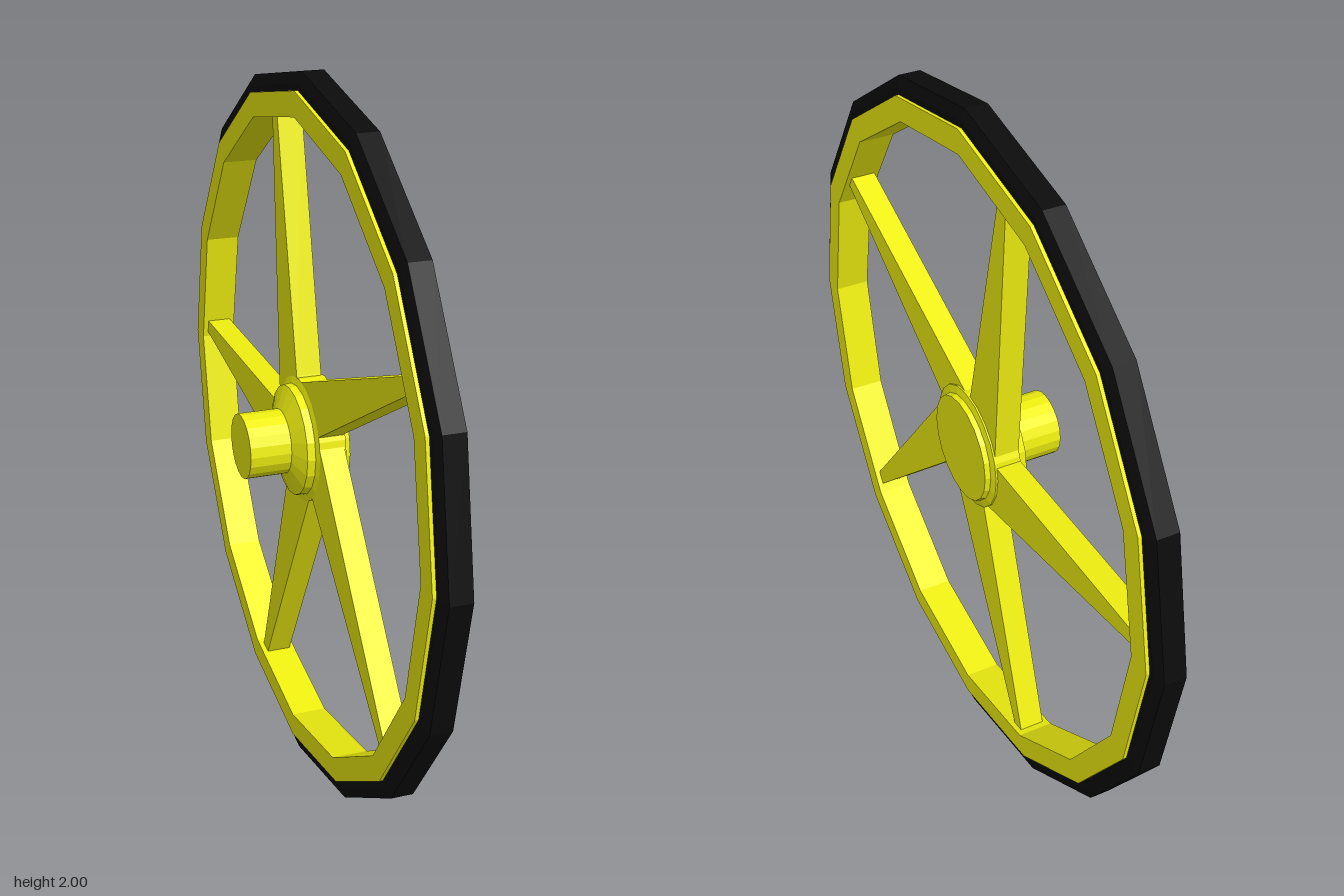
import * as THREE from 'three';

const yellow = new THREE.MeshStandardMaterial({ color: 0xeeee10, flatShading: true });
const black = new THREE.MeshStandardMaterial({ color: 0x0b0b0b, flatShading: true });

// Turn an [x, radius] profile around the axle, which runs along x
function turned(name, profile, sides, material) {
  const points = profile.map(([x, r]) => new THREE.Vector2(r, x));
  const geometry = new THREE.LatheGeometry(points, sides).rotateZ(-Math.PI / 2);
  const mesh = new THREE.Mesh(geometry, material);
  mesh.name = name;
  return mesh;
}

// Tapered flat spoke: the roots are evenly spaced, each tip leans to its own angle
function spoke(index, tipDegrees) {
  const turn = index * Math.PI * 2 / 5;
  const tip = THREE.MathUtils.degToRad(tipDegrees);
  const at = (u, v, a) => new THREE.Vector2(u, v).rotateAround(new THREE.Vector2(), a);
  const outline = [
    at(0.05, -0.1, turn), at(0.11, -0.13, turn),
    at(0.9, -0.018, tip), at(0.9, 0.018, tip),
    at(0.175, 0.04, turn), at(0.05, 0.04, turn),
  ];
  const geometry = new THREE.ExtrudeGeometry(new THREE.Shape(outline), { depth: 0.07, bevelEnabled: false });
  geometry.rotateY(Math.PI / 2).translate(0.035, 0, 0);
  const mesh = new THREE.Mesh(geometry, yellow);
  mesh.name = 'spoke' + (index + 1);
  return mesh;
}

export function createModel() {
  const wheel = new THREE.Group();
  wheel.name = 'wheel';

  // Tyre with chamfered shoulders
  wheel.add(turned('tyre', [
    [0.03, 0.94], [0.03, 0.97], [0.04, 1], [0.1, 1], [0.11, 0.97], [0.11, 0.94], [0.03, 0.94],
  ], 16, black));

  // Rim, slightly wider than the tyre
  wheel.add(turned('rim', [
    [0.02, 0.885], [0.02, 0.952], [0.12, 0.952], [0.12, 0.885], [0.02, 0.885],
  ], 16, yellow));

  // Hub with axle stub, flare, flange and outer cap
  wheel.add(turned('hub', [
    [-0.13, 0], [-0.13, 0.09], [-0.015, 0.09], [0.008, 0.153], [0.03, 0.155],
    [0.035, 0.175], [0.11, 0.175], [0.115, 0.153], [0.13, 0.15], [0.13, 0],
  ], 20, yellow));

  [2.3, 77, 150, 222.2, 290].forEach((angle, i) => wheel.add(spoke(i, angle)));

  wheel.position.y = 1;
  const model = new THREE.Group();
  model.add(wheel);
  return model;
}
